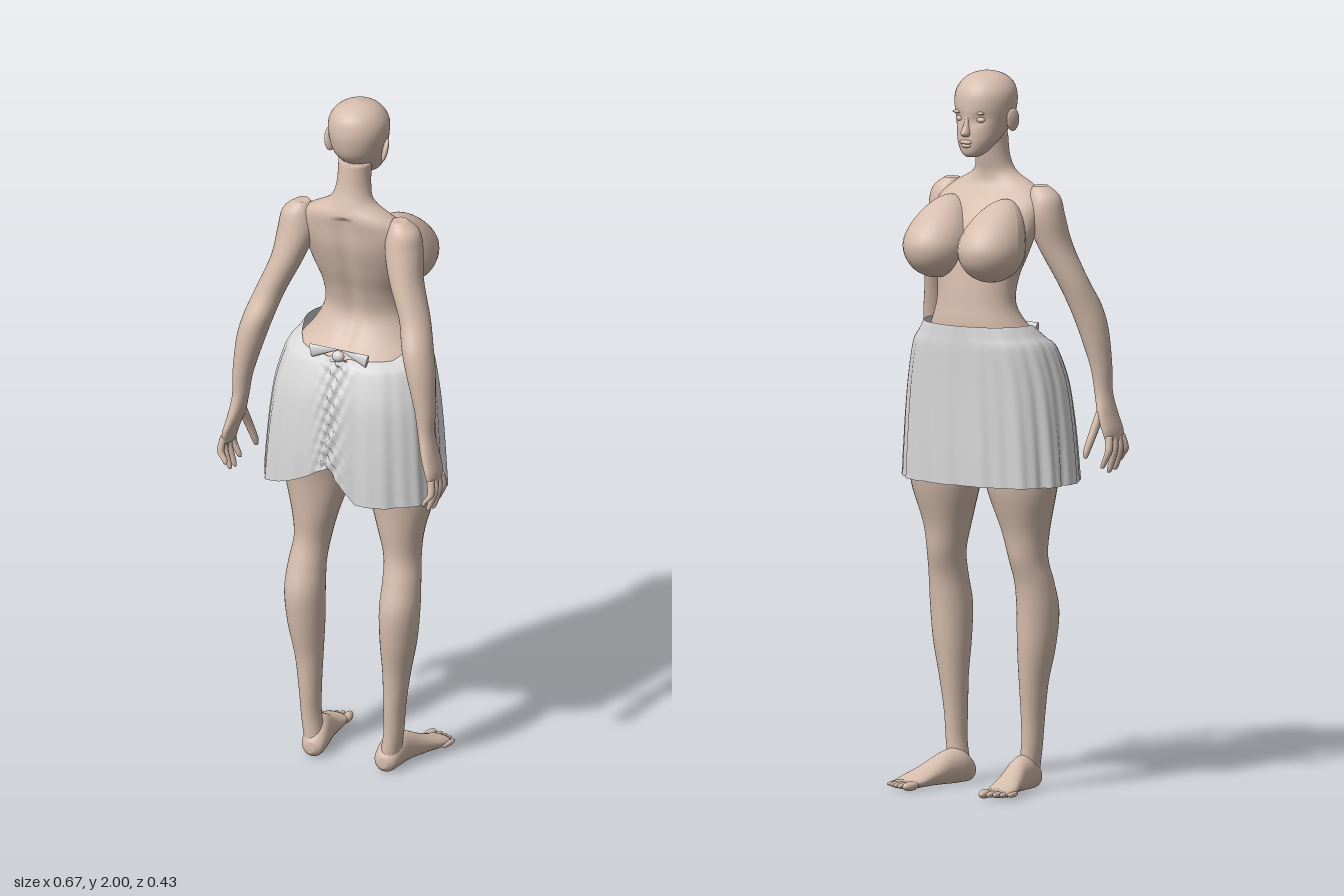
import * as THREE from 'three';

const skin = new THREE.MeshStandardMaterial({ color: 0xd6bdad });
skin.name = 'skin';
const cloth = new THREE.MeshStandardMaterial({ color: 0xd8d8d8, side: THREE.DoubleSide });
cloth.name = 'cloth';

// Catmull-Rom blend of whole section rows
function sample(rows, t) {
  const n = rows.length - 1;
  const i = Math.min(Math.floor(t * n), n - 1);
  const f = t * n - i;
  const at = k => rows[Math.max(0, Math.min(n, k))];
  return rows[i].map((b, k) => {
    const a = at(i - 1)[k], c = at(i + 1)[k], d = at(i + 2)[k];
    return b + 0.5 * f * (c - a + f * (2 * a - 5 * b + 4 * c - d + f * (3 * (b - c) + d - a)));
  });
}

// Skin over elliptical sections [y, cx, cz, rx, rz], listed from low to high.
// side mirrors cx; shape(p, angle, t) may move each point.
function loft(rows, { seg = 32, steps = 5, side = 1, caps = true, shape } = {}) {
  const rings = [];
  const count = (rows.length - 1) * steps;
  for (let i = 0; i <= count; i++) rings.push({ row: sample(rows, i / count), t: i / count });
  if (caps) {
    for (const end of [0, rings.length - 1]) {
      const [y, cx, cz] = rings[end].row;
      const cap = { row: [y, cx, cz, 1e-4, 1e-4], t: rings[end].t };
      if (end === 0) rings.unshift(cap); else rings.push(cap);
      if (end === 0) continue;
    }
  }
  const pos = [], idx = [], p = new THREE.Vector3();
  rings.forEach(({ row: [y, cx, cz, rx, rz], t }) => {
    for (let j = 0; j < seg; j++) {
      const a = (j / seg) * Math.PI * 2;
      p.set(cx * side + rx * Math.sin(a), y, cz + rz * Math.cos(a));
      if (shape) shape(p, a, t);
      pos.push(p.x, p.y, p.z);
    }
  });
  for (let i = 0; i < rings.length - 1; i++) {
    for (let j = 0; j < seg; j++) {
      const a = i * seg + j, b = i * seg + (j + 1) % seg;
      idx.push(a, b, b + seg, a, b + seg, a + seg);
    }
  }
  const g = new THREE.BufferGeometry();
  g.setAttribute('position', new THREE.Float32BufferAttribute(pos, 3));
  g.setIndex(idx);
  g.computeVertexNormals();
  return g;
}

function ellipsoid(rx, ry, rz) {
  return new THREE.SphereGeometry(1, 28, 20).scale(rx, ry, rz);
}

export function createModel() {
  const model = new THREE.Group();
  model.name = 'figure';
  const add = (name, geo, mat = skin, x = 0, y = 0, z = 0) => {
    const m = new THREE.Mesh(geo, mat);
    m.name = name;
    m.position.set(x, y, z);
    model.add(m);
    return m;
  };

  // Torso and neck, with a soft spine groove (back is +z)
  add('torso', loft([
    [0.98, 0, 0.01, 0.17, 0.12], [1.08, 0, 0.02, 0.2, 0.14], [1.16, 0, 0.02, 0.203, 0.138],
    [1.25, 0, -0.005, 0.18, 0.125], [1.3, 0, -0.035, 0.146, 0.105], [1.36, 0, -0.05, 0.12, 0.086],
    [1.43, 0, -0.042, 0.123, 0.088], [1.5, 0, -0.025, 0.145, 0.095], [1.58, 0, 0, 0.165, 0.092],
    [1.64, 0, 0.022, 0.168, 0.075], [1.68, 0, 0.042, 0.128, 0.058], [1.715, 0, 0.04, 0.066, 0.05],
    [1.76, 0, 0.028, 0.048, 0.048], [1.83, 0, 0.018, 0.046, 0.05],
  ], { seg: 64, shape: (p) => {
    if (p.z > 0 && p.y > 1.2 && p.y < 1.68) p.z -= 0.012 * Math.exp(-((p.x / 0.022) ** 2));
  } }));

  // Head
  add('head', loft([
    [1.767, 0, -0.068, 0.018, 0.022], [1.78, 0, -0.058, 0.035, 0.042], [1.81, 0, -0.04, 0.055, 0.063],
    [1.85, 0, -0.014, 0.07, 0.086], [1.9, 0, -0.005, 0.082, 0.094], [1.94, 0, -0.003, 0.083, 0.091],
    [1.97, 0, 0, 0.068, 0.076], [1.99, 0, 0, 0.042, 0.046], [2, 0, 0, 0.004, 0.004],
  ], { shape: (p) => { // shallow eye sockets
    const d = ((Math.abs(p.x) - 0.034) / 0.02) ** 2 + ((p.y - 1.872) / 0.016) ** 2;
    if (p.z < -0.03) p.z += 0.01 * Math.exp(-d);
  } }));
  add('nose', loft([
    [1.825, 0, -0.098, 0.01, 0.008], [1.835, 0, -0.1, 0.013, 0.019],
    [1.86, 0, -0.094, 0.008, 0.012], [1.885, 0, -0.09, 0.007, 0.008],
  ], { seg: 16 }));
  add('upperLip', ellipsoid(0.02, 0.006, 0.008), skin, 0, 1.81, -0.102);
  add('lowerLip', ellipsoid(0.016, 0.006, 0.008), skin, 0, 1.8, -0.1);

  for (const s of [1, -1]) {
    const tag = s > 0 ? 'left' : 'right';
    add(tag + 'Eye', ellipsoid(0.014, 0.008, 0.009), skin, s * 0.034, 1.872, -0.079);
    add(tag + 'Brow', ellipsoid(0.02, 0.005, 0.008), skin, s * 0.034, 1.891, -0.083).rotation.y = s * 0.4;
    const ear = add(tag + 'Ear', ellipsoid(0.008, 0.034, 0.019), skin, s * 0.085, 1.868, 0.004);
    ear.rotation.set(-0.15, s * 0.5, -s * 0.15);

    // Bust: rounded below, stretched into the chest above
    const bust = ellipsoid(1, 1, 1);
    const b = bust.attributes.position;
    for (let i = 0; i < b.count; i++) {
      const up = Math.max(0, b.getY(i));
      b.setXYZ(i, b.getX(i) * 0.09, b.getY(i) * (0.092 + 0.04 * up), b.getZ(i) * 0.105 + 0.065 * up * up);
    }
    bust.computeVertexNormals();
    add(tag + 'Bust', bust, skin, s * 0.092, 1.52, -0.108);

    // Arm down to the palm
    add(tag + 'Arm', loft([
      [0.968, 0.316, 0.162, 0.011, 0.036], [1.0, 0.313, 0.16, 0.016, 0.045], [1.05, 0.298, 0.155, 0.02, 0.041],
      [1.11, 0.286, 0.153, 0.022, 0.031], [1.18, 0.28, 0.15, 0.028, 0.035], [1.28, 0.262, 0.139, 0.039, 0.047],
      [1.35, 0.244, 0.124, 0.042, 0.052], [1.42, 0.222, 0.096, 0.042, 0.049], [1.52, 0.182, 0.068, 0.046, 0.055],
      [1.6, 0.165, 0.048, 0.053, 0.056], [1.655, 0.162, 0.045, 0.044, 0.045], [1.685, 0.15, 0.045, 0.02, 0.022],
    ], { side: s }));

    // Fingers and thumb
    [0.126, 0.151, 0.175, 0.198].forEach((z, i) => {
      const tip = [0.9, 0.885, 0.89, 0.915][i];
      add(tag + 'Finger' + (i + 1), loft([
        [tip, 0.305, z + (i - 1) * 0.006, 0.004, 0.004], [tip + 0.012, 0.309, z + (i - 1) * 0.005, 0.008, 0.008],
        [0.95, 0.324, z + (i - 1) * 0.002, 0.01, 0.011], [0.99, 0.318, z - (i - 1.5) * 0.004, 0.01, 0.012],
      ], { side: s, seg: 14 }));
    });
    add(tag + 'Thumb', loft([
      [0.93, 0.272, 0.086, 0.005, 0.005], [0.95, 0.274, 0.09, 0.01, 0.01],
      [1.0, 0.284, 0.107, 0.012, 0.013], [1.06, 0.292, 0.135, 0.012, 0.018],
    ], { side: s, seg: 14 }));

    // Leg
    add(tag + 'Leg', loft([
      [0.045, 0.116, 0.034, 0.028, 0.036], [0.12, 0.127, 0.035, 0.027, 0.035], [0.2, 0.13, 0.036, 0.03, 0.039],
      [0.3, 0.135, 0.033, 0.038, 0.047], [0.4, 0.142, 0.036, 0.05, 0.061], [0.5, 0.146, 0.037, 0.055, 0.067],
      [0.58, 0.145, 0.022, 0.052, 0.061], [0.65, 0.138, 0.003, 0.051, 0.062], [0.73, 0.132, -0.002, 0.066, 0.071],
      [0.85, 0.128, -0.014, 0.1, 0.095], [0.95, 0.12, -0.004, 0.11, 0.112], [1.05, 0.11, 0.01, 0.1, 0.12],
    ], { side: s }));

    // Foot, lofted heel to toe then laid along -z
    add(tag + 'Foot', loft([
      [-0.076, 0.112, 0.034, 0.014, 0.016], [-0.06, 0.112, 0.037, 0.032, 0.034], [-0.02, 0.116, 0.05, 0.037, 0.049],
      [0.03, 0.125, 0.048, 0.035, 0.045], [0.09, 0.141, 0.033, 0.04, 0.03], [0.14, 0.153, 0.022, 0.045, 0.02],
      [0.178, 0.158, 0.017, 0.038, 0.012],
    ], { side: s, shape: (p) => { p.z = Math.max(p.z, 0.003); } }).rotateX(-Math.PI / 2));
    for (let i = 0; i < 5; i++) {
      const r = i === 0 ? 0.013 : 0.0095 - i * 0.0005;
      const toe = add(tag + 'Toe' + (i + 1), ellipsoid(r, r, 0.03), skin,
        s * (0.126 + i * 0.0175 + (i ? 0.003 : 0)), 0.015, -0.187 + i * i * 0.0018);
      toe.rotation.y = -s * 0.15;
    }
  }

  // Skirt: flared, pleated, dipping and gathered at the centre back
  add('skirt', loft([
    [0.86, 0, 0.02, 0.255, 0.173], [0.95, 0, 0.018, 0.25, 0.173], [1.05, 0, 0.014, 0.243, 0.17],
    [1.15, 0, 0.007, 0.231, 0.164], [1.24, 0, -0.008, 0.209, 0.151], [1.275, 0, -0.016, 0.186, 0.142],
    [1.305, 0, -0.022, 0.168, 0.135],
  ], { seg: 180, steps: 8, caps: false, shape: (p, a, t) => {
    const back = Math.max(0, Math.cos(a)), drop = 1 - t;
    const gather = back * Math.exp(-((p.x / 0.035) ** 2));
    const x0 = p.x;
    // boxier corners
    const k = 1 + 0.08 * Math.sin(2 * a) ** 2 * (0.4 + drop * 0.6);
    // pleats deepen towards the hem
    const fold = 1 + drop * (0.022 * Math.sin(13 * a + 0.6) + 0.014 * Math.sin(29 * a + 1.5)) * (1 - 0.5 * back);
    p.x *= k * fold;
    p.z *= k * fold;
    // crumpled seam
    p.z += gather * (0.008 * Math.sin(p.y * 150 + x0 * 120) + 0.006 * Math.sin(p.y * 67 - x0 * 230));
    // raised hem at the slit, low waist behind
    const lift = x0 < 0 ? Math.max(0, 1 + x0 / 0.2) ** 1.3 : Math.max(0, 1 - x0 / 0.08);
    p.y += 0.1 * drop ** 2 * lift * (back > 0.15 ? 1 : 0);
    p.y -= 0.045 * t ** 4 * Math.min(1, back * 1.6);
  } }), cloth);

  // Tied knot at the centre back
  add('knot', ellipsoid(0.018, 0.016, 0.014), cloth, 0, 1.272, 0.125);
  for (const s of [1, -1]) {
    const flap = add('knotFlap', new THREE.ConeGeometry(0.02, 0.09, 12).scale(1, 1, 0.4), cloth, s * 0.042, 1.28, 0.118);
    flap.rotation.z = s * 1.35;
  }
  return model;
}
